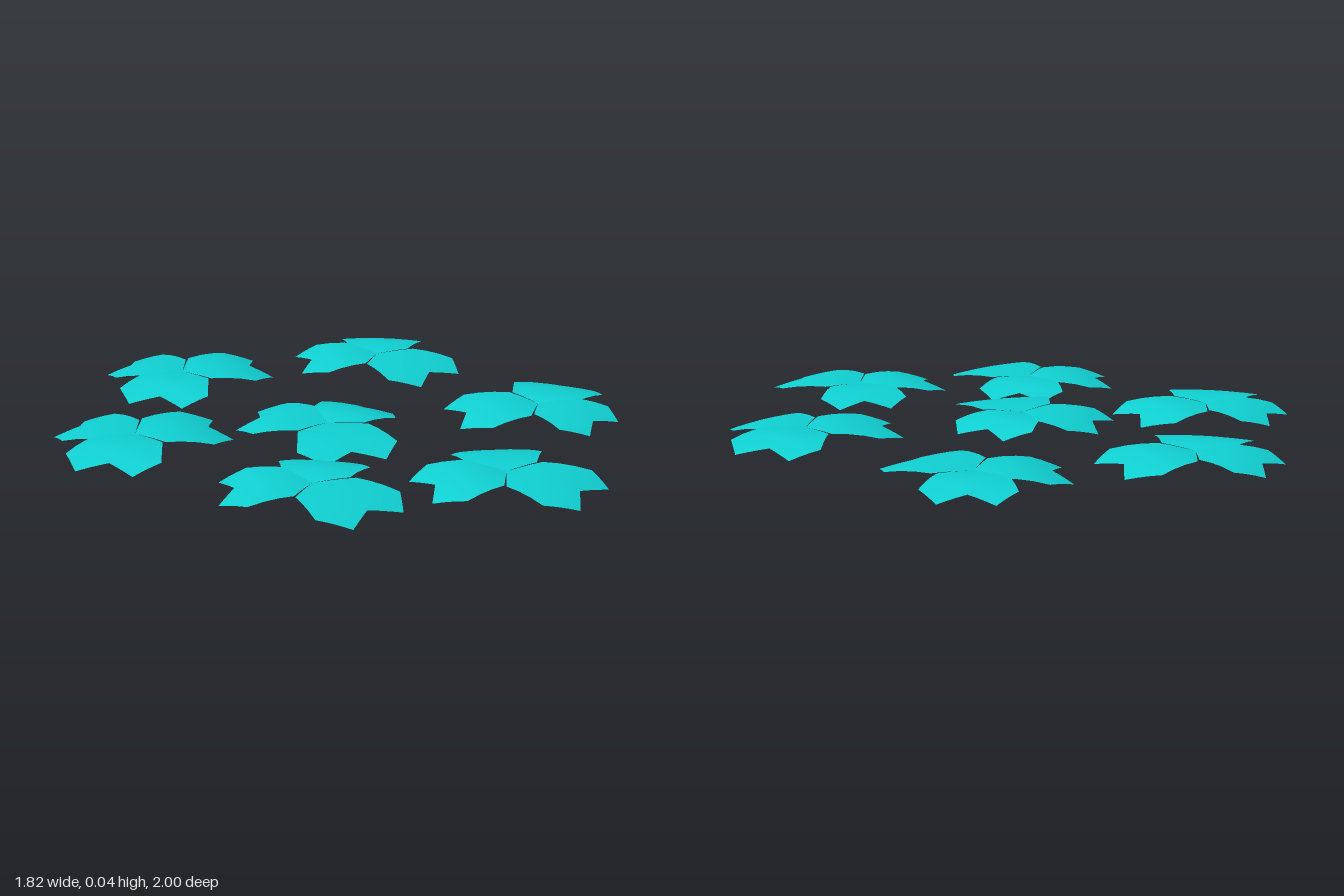
import * as THREE from 'three';

// Half outline of one leaf from stem to notch: [along, across]
const HALF = [[0, 0], [0.063, 0.121], [0.211, 0.169], [0.302, 0.1], [0.251, 0]];
const ARCH = (u, v) => 0.04 - 0.92 * (u - 0.1) ** 2 - 0.25 * v * v;

// Arched heart-shaped leaf: rings growing from a middle point to the outline
function leafGeometry() {
  const mirrored = HALF.slice(1, -1).reverse().map(([u, v]) => [u, -v]);
  const corners = [...HALF, ...mirrored];
  const outline = [];
  const split = 3, rings = 4, mid = 0.15;
  corners.forEach(([u, v], i) => {
    const [u2, v2] = corners[(i + 1) % corners.length];
    for (let s = 0; s < split; s++) {
      outline.push([u + (u2 - u) * s / split, v + (v2 - v) * s / split]);
    }
  });
  const n = outline.length;
  const pos = [mid, ARCH(mid, 0), 0];
  const index = [];
  for (let r = 1; r <= rings; r++) {
    outline.forEach(([u, v], i) => {
      const x = mid + (u - mid) * r / rings, z = v * r / rings;
      pos.push(x, ARCH(x, z), z);
      const j = (i + 1) % n;
      const a = 1 + (r - 1) * n + i, b = 1 + (r - 1) * n + j;
      if (r === 1) index.push(0, a, b);
      else index.push(a - n, a, b, a - n, b, b - n);
    });
  }
  const g = new THREE.BufferGeometry();
  g.setAttribute('position', new THREE.Float32BufferAttribute(pos, 3));
  // keep the faces pointing up
  for (let k = 0; k < index.length; k += 3) {
    const [a, b, c] = index.slice(k, k + 3).map((q) => q * 3);
    const up = (pos[b + 2] - pos[a + 2]) * (pos[c] - pos[a]) - (pos[b] - pos[a]) * (pos[c + 2] - pos[a + 2]);
    if (up < 0) [index[k + 1], index[k + 2]] = [index[k + 2], index[k + 1]];
  }
  g.setIndex(index);
  g.computeVertexNormals();
  return g;
}

export function createModel() {
  const model = new THREE.Group();
  model.name = 'cloverPatch';
  const turquoise = new THREE.MeshStandardMaterial({ color: 0x10d0d2, side: THREE.DoubleSide });
  turquoise.name = 'turquoise';
  const leaf = leafGeometry();

  // Each sprig has a large, a medium and a small leaf: [turn in degrees, size]
  const leaves = [['largeLeaf', 0, 1], ['mediumLeaf', 128, 0.95], ['smallLeaf', 232, 0.87]];
  // Sprigs: [x, z, turn in degrees]
  const sprigs = [
    [-0.16, -0.74, 14], [-0.625, -0.305, 14], [0.51, -0.485, 81], [-0.065, -0.015, 109],
    [-0.42, 0.385, 86], [0.115, 0.67, 69], [0.612, 0.265, 204],
  ];
  sprigs.forEach(([x, z, turn], i) => {
    const sprig = new THREE.Group();
    sprig.name = `sprig${i + 1}`;
    sprig.position.set(x, 0, z);
    for (const [name, angle, size] of leaves) {
      const m = new THREE.Mesh(leaf, turquoise);
      m.name = name;
      m.scale.set(size, 1, size);
      m.rotation.y = -THREE.MathUtils.degToRad(turn + angle);
      sprig.add(m);
    }
    model.add(sprig);
  });
  return model;
}
